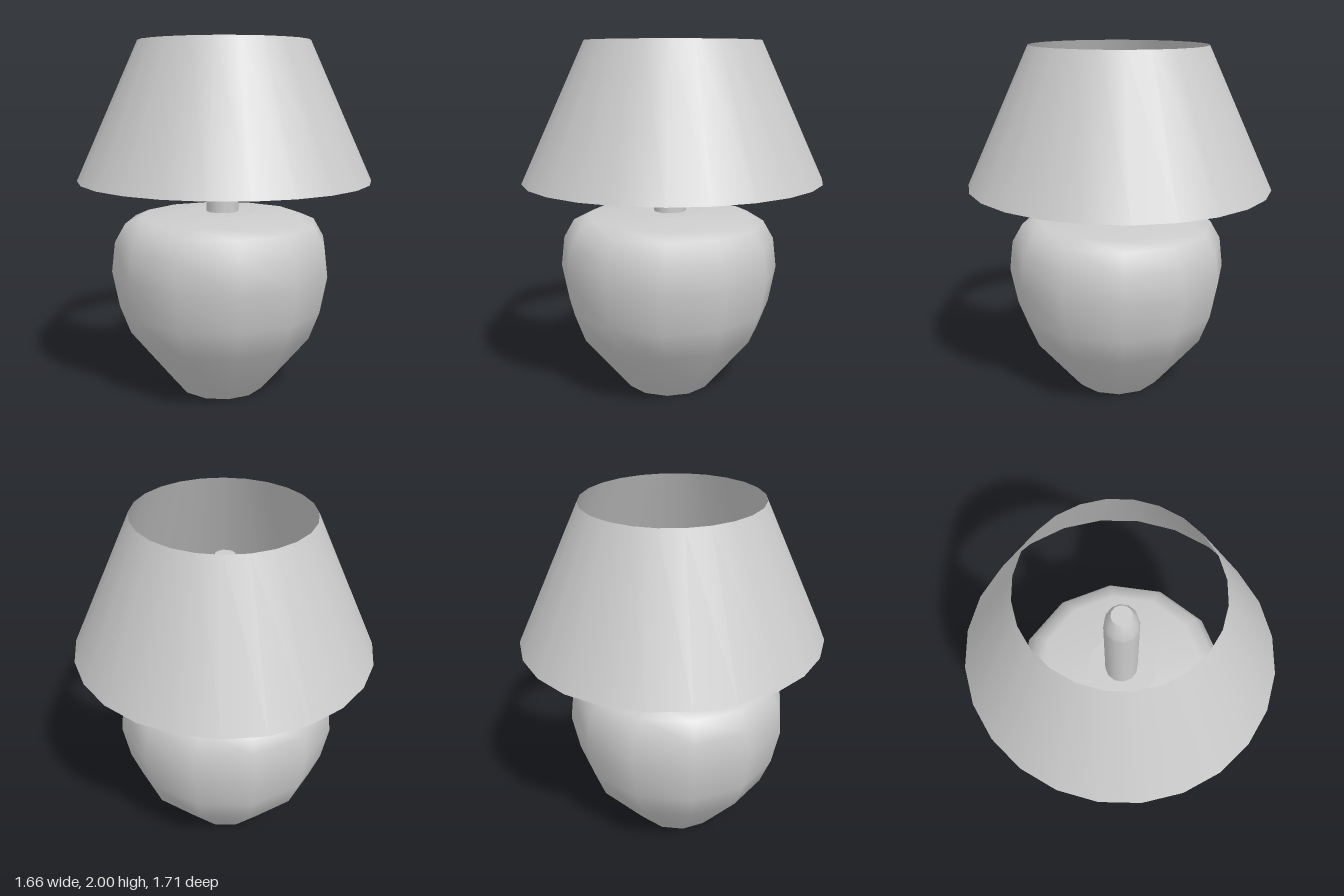
import * as THREE from 'three';

const grey = new THREE.MeshStandardMaterial({ color: 0xcccccc });
const greyOpen = new THREE.MeshStandardMaterial({ color: 0xcccccc, side: THREE.DoubleSide });

// Smooth surface of revolution from [radius, height] pairs, bottom to top
function turned(name, profile, segments, material = grey) {
  const points = profile.map(([r, y]) => new THREE.Vector2(r, y));
  const mesh = new THREE.Mesh(new THREE.LatheGeometry(points, segments), material);
  mesh.name = name;
  return mesh;
}

// Flat polygon cap facing up or down
function cap(name, radius, y, segments, facing) {
  const geometry = new THREE.CircleGeometry(radius, segments, Math.PI / 2);
  geometry.rotateX(-facing * Math.PI / 2);
  const mesh = new THREE.Mesh(geometry, grey);
  mesh.position.y = y;
  mesh.name = name;
  return mesh;
}

export function createModel() {
  const lamp = new THREE.Group();
  lamp.name = 'tableLamp';

  // Rounded urn base, slightly off the shade's axis
  const base = new THREE.Group();
  base.name = 'base';
  base.position.set(-0.02, 0, 0.022);
  base.add(
    turned('urn', [
      [0.25, 0], [0.285, 0.04], [0.53, 0.34], [0.59, 0.5], [0.63, 0.71],
      [0.61, 0.88], [0.55, 0.985], [0.465, 1.022], [0.2, 1.045],
    ], 12),
    cap('urnBottom', 0.25, 0, 12, -1),
    cap('urnTop', 0.2, 1.045, 12, 1),
  );
  lamp.add(base);

  // Stem with a tapered tip, reaching up inside the shade
  const stem = new THREE.Group();
  stem.name = 'stem';
  stem.position.set(-0.012, 0, 0.016);
  stem.add(
    turned('stemTube', [[0.093, 1.03], [0.093, 1.64]], 12),
    turned('stemTip', [[0.093, 1.64], [0.083, 1.71], [0.055, 1.76]], 12),
    cap('stemTop', 0.055, 1.76, 12, 1),
  );
  lamp.add(stem);

  // Open conical shade, a little deeper than wide
  const shade = turned('shade', [[0.83, 1.23], [0.48, 2]], 24, greyOpen);
  shade.scale.z = 0.857 / 0.83;
  lamp.add(shade);

  return lamp;
}
